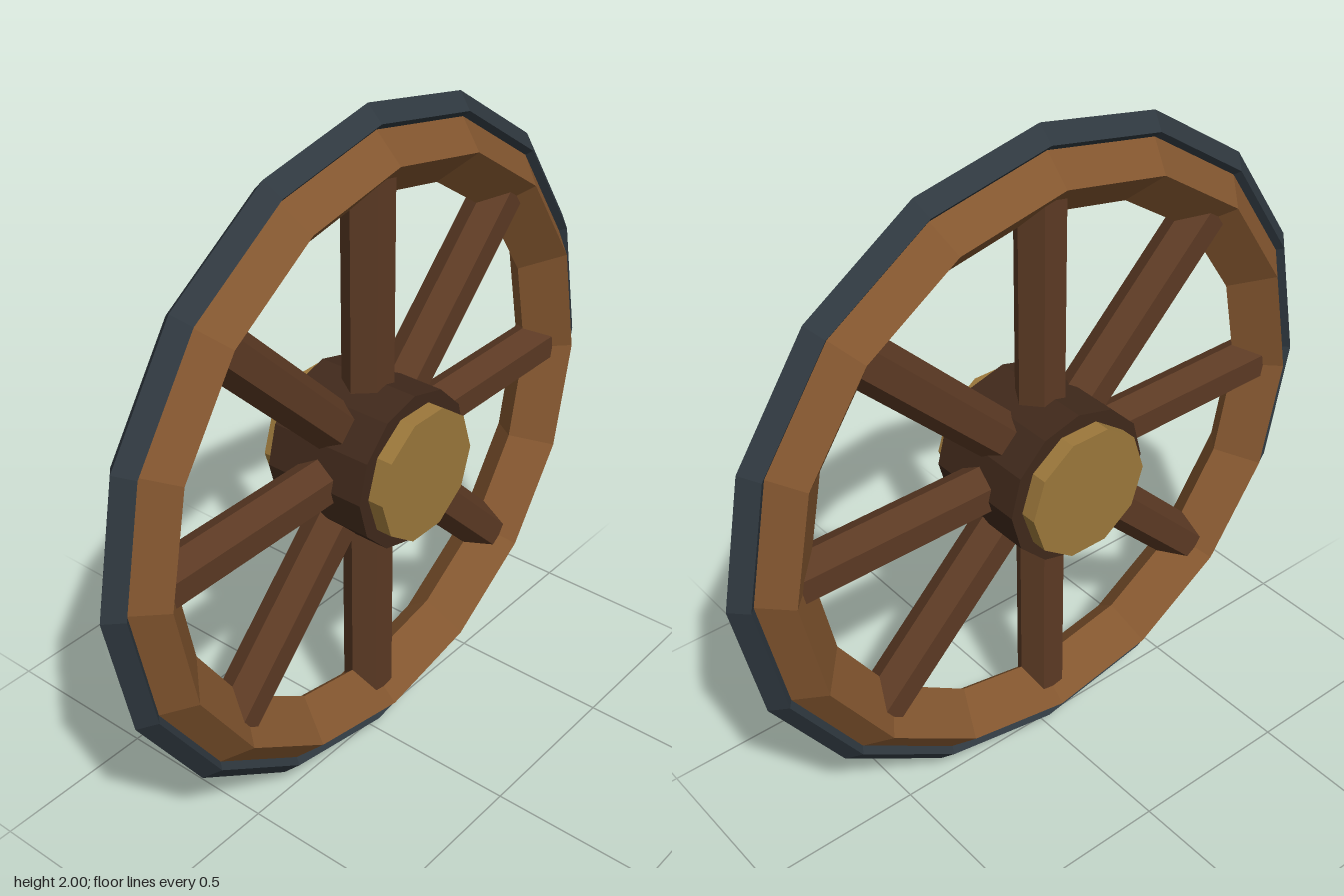
import * as THREE from 'three';

const paint = (color) => new THREE.MeshStandardMaterial({ color, flatShading: true });

export function createModel() {
  const wheel = new THREE.Group();
  wheel.name = 'wagonWheel';

  const rimWood = paint(0x83562f);
  const spokeWood = paint(0x5c3a24);
  const hubWood = paint(0x40291b);
  const iron = paint(0x2f383f);
  const brass = paint(0x9c783b);

  const add = (name, geometry, material, parent = wheel) => {
    const mesh = new THREE.Mesh(geometry, material);
    mesh.name = name;
    parent.add(mesh);
    return mesh;
  };

  // Rings with a diamond section, turning about the x axis
  const ring = (radius, tube) => new THREE.TorusGeometry(radius, tube, 4, 16).rotateY(Math.PI / 2);
  add('rim', ring(0.86, 0.105), rimWood);
  add('tyre', ring(0.955, 0.045), iron);

  // Hub drum and an end cap on each side
  const drum = (radius, length, sides) =>
    new THREE.CylinderGeometry(radius, radius, length, sides).rotateZ(Math.PI / 2);
  add('hub', drum(0.23, 0.32, 12), hubWood);
  for (const side of [1, -1]) {
    const cap = add(side > 0 ? 'leftHubCap' : 'rightHubCap', drum(0.194, 0.07, 10), brass);
    cap.position.x = side * 0.173;
  }

  // Eight six-sided spokes running from the hub into the rim
  const spokes = new THREE.Group();
  spokes.name = 'spokes';
  wheel.add(spokes);
  const spokeGeometry = new THREE.CylinderGeometry(0.072, 0.072, 0.72, 6).translate(0, 0.48, 0);
  for (let i = 0; i < 8; i++) {
    add('spoke', spokeGeometry, spokeWood, spokes).rotation.x = (i * Math.PI) / 4;
  }

  // Stand the wheel on the ground
  wheel.children.forEach((part) => { part.position.y = 1; });
  return wheel;
}
